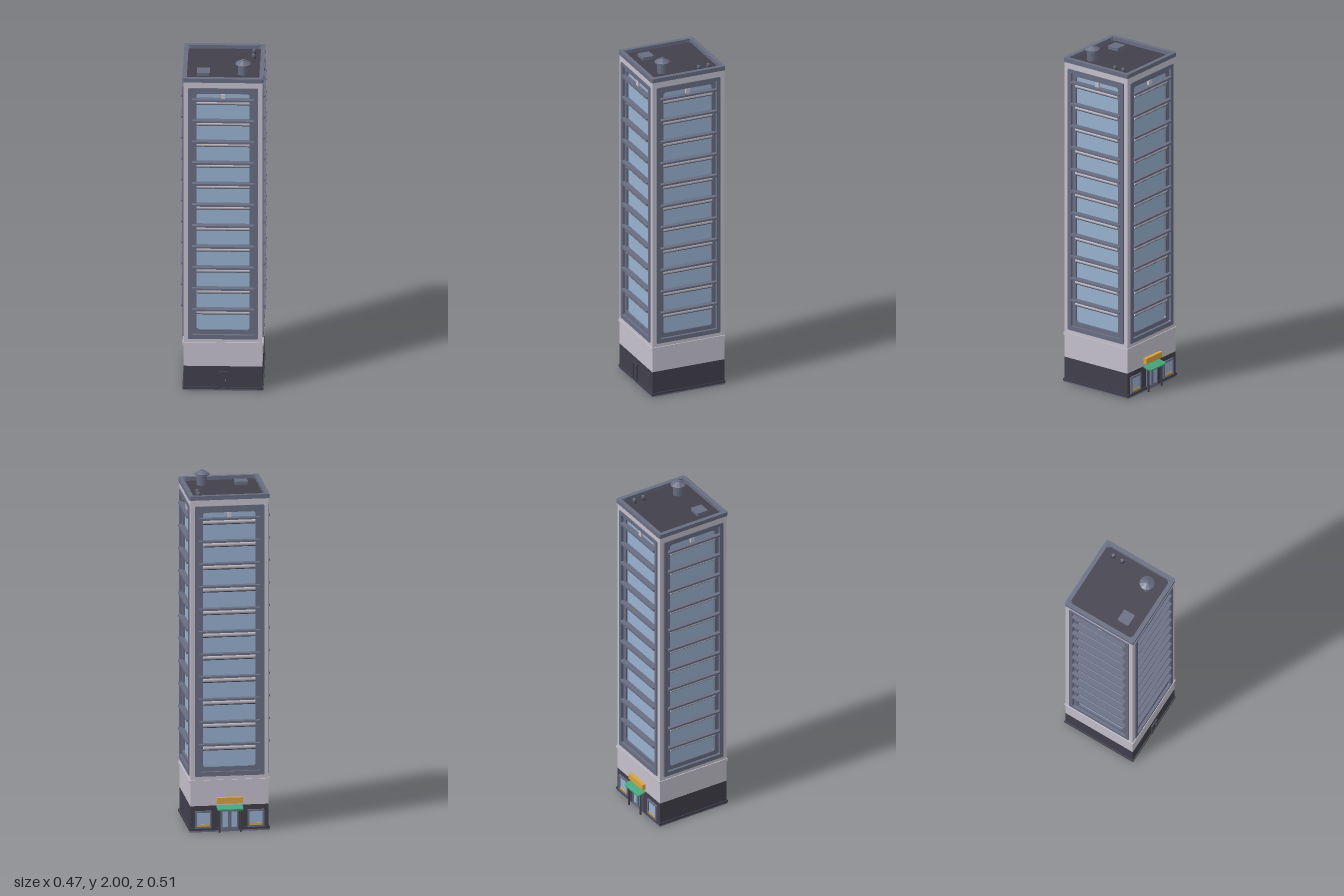
import * as THREE from 'three';

const mat = (name, color) => Object.assign(new THREE.MeshStandardMaterial({ color }), { name });

export function createModel() {
  const light = mat('pale wall', 0xc4c0cc), slate = mat('slate trim', 0x686d82);
  const dark = mat('dark stone', 0x413f4b), glass = mat('blue glass', 0x98b1cf);
  const green = mat('green canopy', 0x46a57c), orange = mat('orange sign', 0xd9a43c);

  const model = new THREE.Group();
  model.name = 'tower';
  const tower = new THREE.Group();
  tower.name = 'building';
  tower.position.z = 0.018;
  model.add(tower);

  const add = (parent, name, geo, m, x = 0, y = 0, z = 0) => {
    const mesh = new THREE.Mesh(geo, m);
    mesh.name = name;
    mesh.position.set(x, y, z);
    parent.add(mesh);
    return mesh;
  };
  // Box given by its minimum and maximum corners
  const box = (parent, name, m, x0, x1, y0, y1, z0, z1) =>
    add(parent, name, new THREE.BoxGeometry(x1 - x0, y1 - y0, z1 - z0), m,
      (x0 + x1) / 2, (y0 + y1) / 2, (z0 + z1) / 2);
  // Rectangle with cut corners
  const outline = (w, y0, y1, c, S = THREE.Shape) => new S([
    [-w + c, y0], [w - c, y0], [w, y0 + c], [w, y1 - c],
    [w - c, y1], [-w + c, y1], [-w, y1 - c], [-w, y0 + c],
  ].map(p => new THREE.Vector2(...p)));
  // Extruded frame, each rectangle is [half width, bottom, top, corner cut]
  const frame = (parent, name, m, outer, inner, z0, z1) => {
    const s = outline(...outer);
    s.holes.push(outline(...inner, THREE.Path));
    return add(parent, name, new THREE.ExtrudeGeometry(s, { depth: z1 - z0, bevelEnabled: false }), m, 0, 0, z0);
  };

  // Four identical window facades
  for (let side = 0; side < 4; side++) {
    const f = new THREE.Group();
    f.name = 'facade' + (side + 1);
    f.rotation.y = side * Math.PI / 2;
    tower.add(f);
    frame(f, 'wall', light, [0.22, 0.15, 1.912, 0], [0.19, 0.325, 1.87, 0], 0.2, 0.22);
    frame(f, 'outerFrame', slate, [0.195, 0.32, 1.875, 0.004], [0.172, 0.345, 1.857, 0.004], 0.195, 0.226);
    frame(f, 'innerFrame', slate, [0.174, 0.343, 1.859, 0], [0.148, 0.37, 1.835, 0.01], 0.195, 0.211);
    box(f, 'glass', glass, -0.165, 0.165, 0.35, 1.85, 0.193, 0.2);
    for (let i = 0; i < 11; i++) {
      const y = 0.5 + i * 0.13;
      box(f, 'ledge', slate, -0.172, 0.172, y - 0.005, y + 0.006, 0.198, 0.234);
      const r = add(f, 'blindRoll', new THREE.CylinderGeometry(0.013, 0.013, 0.294, 12), light, 0, y - 0.018, 0.207);
      r.rotation.z = Math.PI / 2;
      box(f, 'blindRail', dark, -0.147, 0.147, y - 0.036, y - 0.031, 0.198, 0.206);
    }
    box(f, 'lamp', light, -0.012, 0.012, 1.806, 1.835, 0.198, 0.214);
  }

  // Ground floor and moulding
  box(tower, 'plinth', slate, -0.224, 0.224, 0, 0.009, -0.224, 0.224);
  box(tower, 'plinthStep', dark, -0.226, 0.226, 0.009, 0.022, -0.226, 0.226);
  box(tower, 'groundFloor', dark, -0.22, 0.22, 0.02, 0.15, -0.22, 0.22);
  box(tower, 'moulding', light, -0.225, 0.225, 0.282, 0.298, -0.225, 0.225);

  // Service door at the front
  const door = new THREE.Group();
  door.name = 'serviceDoor';
  tower.add(door);
  frame(door, 'doorFrame', dark, [0.028, 0.015, 0.12, 0], [0.021, 0.016, 0.113, 0], 0.219, 0.23);
  box(door, 'doorLeaf', dark, -0.021, 0.021, 0.016, 0.113, 0.219, 0.224);
  box(door, 'handle', slate, 0.012, 0.016, 0.058, 0.07, 0.223, 0.229);

  // Entrance at the back
  const entry = new THREE.Group();
  entry.name = 'entrance';
  entry.rotation.y = Math.PI;
  tower.add(entry);
  for (const s of [-1, 1]) {
    const shop = new THREE.Group();
    shop.name = 'shopWindow';
    shop.position.x = s * 0.148;
    entry.add(shop);
    frame(shop, 'windowFrame', slate, [0.047, 0.022, 0.122, 0], [0.037, 0.032, 0.112, 0], 0.218, 0.229);
    box(shop, 'windowGlass', glass, -0.037, 0.037, 0.032, 0.112, 0.218, 0.223);
    box(shop, 'windowBase', orange, -0.037, 0.037, 0.032, 0.043, 0.218, 0.226);

    const leaf = new THREE.Group();
    leaf.name = 'doorLeaf';
    leaf.position.x = s * 0.025;
    entry.add(leaf);
    frame(leaf, 'leafFrame', slate, [0.025, 0.01, 0.125, 0], [0.016, 0.025, 0.115, 0], 0.218, 0.229);
    box(leaf, 'leafGlass', glass, -0.016, 0.016, 0.025, 0.115, 0.218, 0.224);
    add(entry, 'canopyPost', new THREE.CylinderGeometry(0.005, 0.005, 0.142, 8), dark, s * 0.06, 0.071, 0.246);
  }
  // Canopy slab with cut outer corners, sloping outward
  const canopy = new THREE.Shape([[-0.073, 0], [0.073, 0], [0.073, 0.046], [0.065, 0.054],
    [-0.065, 0.054], [-0.073, 0.046]].map(p => new THREE.Vector2(...p)));
  const roof = add(entry, 'canopy', new THREE.ExtrudeGeometry(canopy, { depth: 0.009, bevelEnabled: false }),
    green, 0, 0.151, 0.219);
  roof.rotation.x = Math.PI / 2 + 0.24;
  box(entry, 'sign', orange, -0.072, 0.072, 0.164, 0.198, 0.219, 0.241);

  // Roof with parapet
  box(tower, 'roofDeck', dark, -0.21, 0.21, 1.9, 1.914, -0.21, 0.21);
  const parapet = frame(tower, 'parapet', slate, [0.226, -0.226, 0.226, 0.007], [0.202, -0.202, 0.202, 0], 0, 0.024);
  parapet.rotation.x = -Math.PI / 2;
  parapet.position.set(0, 1.911, 0);
  for (const sx of [-1, 1]) for (const sz of [-1, 1]) {
    const c = new THREE.Group();
    c.name = 'cornerBracket';
    c.position.set(sx * 0.195, 1.92, sz * 0.195);
    tower.add(c);
    add(c, 'bracketArm', new THREE.BoxGeometry(0.016, 0.014, 0.006), slate, 0, 0, sz * 0.005);
    add(c, 'bracketArm', new THREE.BoxGeometry(0.006, 0.014, 0.016), slate, sx * 0.005, 0, 0);
  }

  // Rooftop fittings
  const hatch = add(model, 'roofHatch', new THREE.ExtrudeGeometry(outline(0.036, -0.035, 0.035, 0.004),
    { depth: 0.02, bevelEnabled: false }), slate, -0.111, 1.912, 0.128);
  hatch.rotation.x = -Math.PI / 2;
  const vent = new THREE.Group();
  vent.name = 'roofVent';
  vent.position.set(0.109, 0, 0.128);
  model.add(vent);
  const flat = (g) => { const n = g.toNonIndexed(); n.computeVertexNormals(); return n; };
  add(vent, 'ventStem', new THREE.CylinderGeometry(0.03, 0.03, 0.064, 10), slate, 0, 1.944, 0);
  add(vent, 'ventRim', new THREE.CylinderGeometry(0.043, 0.043, 0.006, 10), slate, 0, 1.976, 0);
  add(vent, 'ventCap', flat(new THREE.CylinderGeometry(0.011, 0.043, 0.018, 10)), slate, 0, 1.988, 0);
  add(vent, 'ventTip', new THREE.CylinderGeometry(0.01, 0.011, 0.004, 10), slate, 0, 1.998, 0);
  for (const z of [-0.128, -0.07]) {
    add(model, 'pipe', new THREE.CylinderGeometry(0.009, 0.009, 0.026, 10), slate, 0.163, 1.926, z);
    add(model, 'pipeCollar', new THREE.CylinderGeometry(0.01, 0.014, 0.012, 10), dark, 0.163, 1.92, z);
  }
  return model;
}
